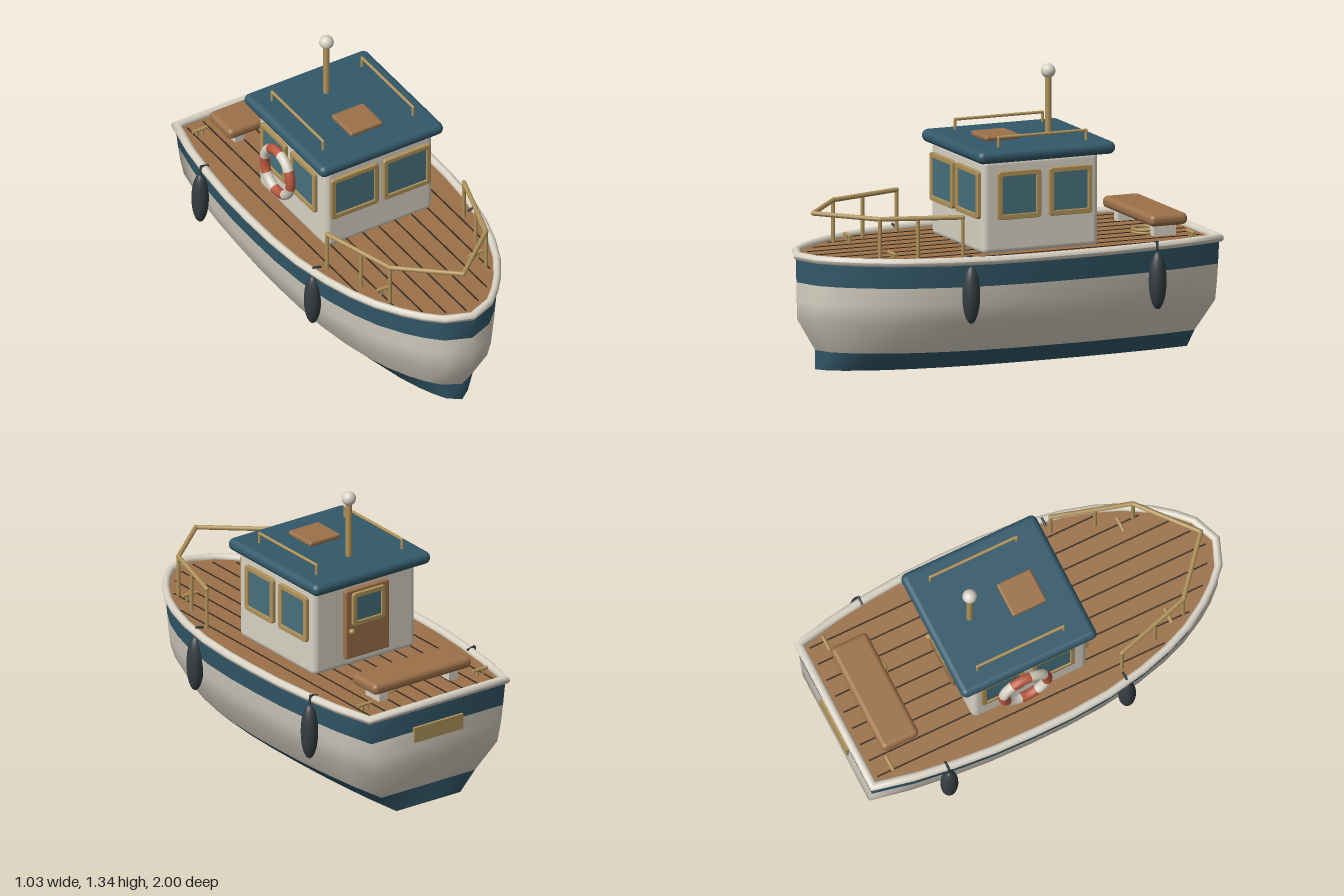
import * as THREE from 'three';
import { RoundedBoxGeometry } from 'three/addons/geometries/RoundedBoxGeometry.js';

const mat = (color, side = THREE.FrontSide) => new THREE.MeshStandardMaterial({ color, side });
const CREAM = mat(0xd8d2c4), BLUE = mat(0x33596a), WOOD = mat(0x9c7149), BRASS = mat(0xb0935a);
const GLASS = mat(0x47707c), RUBBER = mat(0x353d41), SEAM = mat(0x3a2c20), RED = mat(0xb9583f);
const DECK_WOOD = mat(0x9c7149, THREE.DoubleSide), KEEL_BLUE = mat(0x33596a, THREE.DoubleSide);

// Half outline of the hull from bow to stern: [half width, z], both normalised
const HALF = [[0, 1], [.26, .95], [.41, .88], [.54, .8], [.69, .68], [.8, .55], [.89, .4], [.965, .2],
  [.995, 0], [1, -.2], [.99, -.4], [.955, -.6], [.9, -.8], [.81, -1]];
const LOOP = [...HALF, [0, -1], ...HALF.slice(1).reverse().map(([x, z]) => [-x, z])];
const DECK_Y = .535, DECK_W = .465, DECK_L = .965;

export function createModel() {
  const boat = new THREE.Group();
  boat.name = 'boat';

  const add = (name, geo, material, x = 0, y = 0, z = 0, parent = boat) => {
    const m = new THREE.Mesh(geo, material);
    m.name = name;
    m.position.set(x, y, z);
    parent.add(m);
    return m;
  };
  const box = (w, h, d, r = 0) => r ? new RoundedBoxGeometry(w, h, d, 4, r) : new THREE.BoxGeometry(w, h, d);
  // Straight round bar between two points
  const bar = (name, a, b, r, material = BRASS) => {
    const p = new THREE.Vector3(...a), q = new THREE.Vector3(...b), d = q.clone().sub(p);
    const m = add(name, new THREE.CylinderGeometry(r, r, d.length(), 12), material);
    m.position.copy(p).add(q).multiplyScalar(.5);
    m.quaternion.setFromUnitVectors(new THREE.Vector3(0, 1, 0), d.normalize());
    return m;
  };
  // Chain of bars with round joints
  const pipe = (name, pts, r) => pts.forEach((p, i) => {
    add(name + 'Joint', new THREE.SphereGeometry(r, 12, 8), BRASS, ...p);
    if (i) bar(name, pts[i - 1], p, r);
  });

  // Skin over stacked outlines: layers of [y, half width, half length, z centre]
  const skin = (layers) => {
    const pos = [], idx = [], n = LOOP.length;
    for (const [y, w, l, c = 0] of layers) for (const [x, z] of LOOP) pos.push(x * w, y, z * l + c);
    for (let j = 0; j < layers.length - 1; j++) for (let i = 0; i < n; i++) {
      const a = j * n + i, b = j * n + (i + 1) % n;
      idx.push(a, b, b + n, a, b + n, a + n);
    }
    const g = new THREE.BufferGeometry();
    g.setAttribute('position', new THREE.Float32BufferAttribute(pos, 3));
    g.setIndex(idx);
    g.computeVertexNormals();
    return g;
  };
  const plate = (w, l) => new THREE.ShapeGeometry(
    new THREE.Shape(LOOP.map(([x, z]) => new THREE.Vector2(x * w, -z * l)))).rotateX(-Math.PI / 2);

  // Hull bands, bottom and deck
  add('hullBottomBand', skin([[0, .225, .9, -.01], [.09, .33, .9, -.01]]), BLUE);
  add('hullBody', skin([[.09, .33, .9, -.01], [.24, .425, .98], [.33, .45, .98], [.415, .465, .98]]), CREAM);
  add('hullStripe', skin([[.415, .465, .98], [.54, .483, .98]]), BLUE);
  add('hullBottom', plate(.225, .9), KEEL_BLUE, 0, 0, -.01);
  add('deck', plate(.475, .975), DECK_WOOD, 0, DECK_Y, 0);

  // Rounded gunwale running all round
  const rim = [];
  for (let k = 0; k <= 12; k++) {
    const a = k / 12 * Math.PI * 2, c = .02 * Math.cos(a);
    rim.push([.538 + .02 * Math.sin(a), .478 + c, .978 + c]);
  }
  add('gunwale', skin(rim), CREAM);

  // Plank seams, clipped to the bow curve
  for (let k = -4; k <= 4; k++) {
    const x = k * .088, f = Math.abs(x) / DECK_W;
    const i = HALF.findIndex(([w]) => w > f), [a, b] = [HALF[i - 1], HALF[i]];
    const bow = (a[1] + (b[1] - a[1]) * (f - a[0]) / (b[0] - a[0])) * DECK_L - .04;
    add('plankSeam', box(.007, .004, bow + .94), SEAM, x, DECK_Y + .001, (bow - .94) / 2);
  }

  // Cabin and roof
  add('cabin', box(.585, .45, .59, .03), CREAM, 0, .75, -.122);
  add('roof', box(.67, .06, .695, .029), BLUE, 0, .99, -.14);
  add('roofHatch', box(.175, .025, .175, .01), WOOD, 0, 1.03, -.023);
  bar('mast', [0, 1.01, -.29], [0, 1.29, -.29], .015);
  add('mastLight', new THREE.SphereGeometry(.034, 24, 16), CREAM, 0, 1.31, -.29);

  // Framed window facing +z
  const rounded = (Type, w, h, r) => {
    const s = new Type();
    const corners = [[1, -1, -90], [1, 1, 0], [-1, 1, 90], [-1, -1, 180]];
    for (const [sx, sy, deg] of corners) {
      const a = deg * Math.PI / 180;
      s.absarc(sx * (w / 2 - r), sy * (h / 2 - r), r, a, a + Math.PI / 2, false);
    }
    s.closePath();
    return s;
  };
  const windowUnit = (name, w, h, x, y, z, turn) => {
    const g = new THREE.Group();
    g.name = name;
    const s = rounded(THREE.Shape, w, h, .012);
    s.holes.push(rounded(THREE.Path, w - .036, h - .036, .006));
    add('windowFrame', new THREE.ExtrudeGeometry(s, {
      depth: .018, bevelEnabled: true, bevelSize: .003, bevelThickness: .003, bevelSegments: 2, curveSegments: 4,
    }), BRASS, 0, 0, -.004, g);
    add('windowGlass', box(w - .03, h - .03, .012), GLASS, 0, 0, .003, g);
    g.position.set(x, y, z);
    g.rotation.y = turn;
    boat.add(g);
  };
  for (const s of [-1, 1]) {
    windowUnit('frontWindow', .25, .22, s * .142, .807, .173, 0);
    for (const z of [-.008, -.268])
      windowUnit('sideWindow', .212, .22, s * .2925, .803, z, s * Math.PI / 2);
  }

  // Rear door
  add('door', box(.25, .345, .03, .008), WOOD, 0, .75, -.425);
  windowUnit('doorWindow', .18, .16, 0, .825, -.437, Math.PI);
  add('doorKnob', new THREE.SphereGeometry(.014, 16, 12), BRASS, .1, .72, -.452);

  // Mirrored fittings
  for (const s of [-1, 1]) {
    // Grab rails on the roof
    const x = s * .245;
    pipe('roofRail', [[x, 1.015, .072], [x, 1.067, .072], [x, 1.067, -.372], [x, 1.015, -.372]], .007);
    // Bow railing
    pipe('bowRail', [[s * .372, .733, .31], [s * .262, .733, .68], [0, .733, .9]], .011);
    for (const [px, pz] of [[.372, .31], [.312, .51], [.262, .68]])
      bar('bowRailPost', [s * px, DECK_Y, pz], [s * px, .733, pz], .009);
    // Cleats
    for (const [cx, cz] of [[.25, .61], [.33, -.865]]) {
      bar('cleatBar', [s * cx - .04, .565, cz], [s * cx + .04, .565, cz], .008);
      for (const d of [-.015, .015]) bar('cleatFoot', [s * cx + d, .53, cz], [s * cx + d, .565, cz], .007);
    }
    // Fenders hung over the gunwale
    for (const [fx, fz] of [[.445, .3], [.475, -.63]]) {
      add('fender', new THREE.SphereGeometry(1, 24, 18), RUBBER, s * fx, .38, fz).scale.set(.04, .135, .042);
      bar('fenderRope', [s * fx, .5, fz], [s * (fx - .005), .56, fz], .006, RUBBER);
      bar('fenderRope', [s * (fx - .005), .56, fz], [s * (fx - .045), .55, fz], .006, RUBBER);
    }
    add('benchLeg', box(.05, .065, .11), CREAM, s * .2, .565, -.78);
  }
  add('benchSeat', box(.56, .055, .19, .024), WOOD, 0, .617, -.78);

  // Rope coil beside the bench
  for (const [r, y] of [[.06, .543], [.043, .545], [.055, .556]])
    add('ropeCoil', new THREE.TorusGeometry(r, .007, 8, 32).rotateX(Math.PI / 2), BRASS, .12, y, -.735 + .01);

  // Life ring in alternating segments on the cabin side
  const ring = new THREE.Group();
  ring.name = 'lifeRing';
  for (let k = 0; k < 8; k++) {
    const seg = add('lifeRingSegment', new THREE.TorusGeometry(.113, .024, 14, 8, Math.PI / 4), k % 2 ? CREAM : RED, 0, 0, 0, ring);
    seg.rotation.z = k * Math.PI / 4 - .21;
  }
  ring.rotation.y = -Math.PI / 2;
  ring.position.set(-.34, .772, -.172);
  boat.add(ring);
  bar('lifeRingHook', [-.285, .87, -.172], [-.335, .87, -.172], .008);

  // Plain plate on the transom
  add('transomPlate', box(.28, .075, .018), BRASS, 0, .4, -.984);

  return boat;
}
